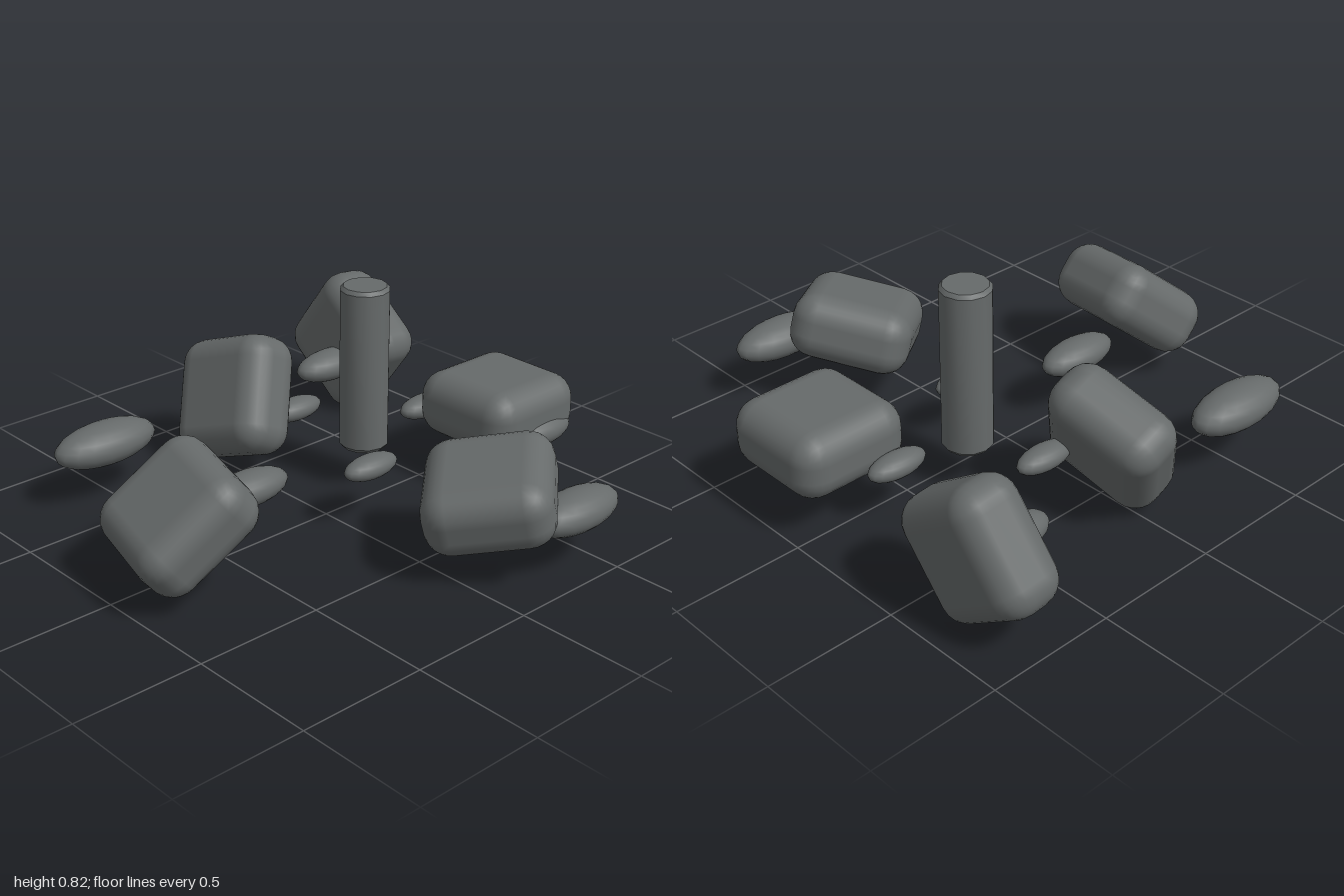
import * as THREE from 'three';
import { toCreasedNormals } from 'three/addons/utils/BufferGeometryUtils.js';
import { RoundedBoxGeometry } from 'three/addons/geometries/RoundedBoxGeometry.js';

export function createModel() {
  const model = new THREE.Group();
  model.name = 'scatteredStones';
  const stone = new THREE.MeshStandardMaterial({ color: 0x666a6a });
  stone.name = 'stoneGrey';

  // Rounded slabs: centre, then the directions of the two long edges
  const slabGeometry = new RoundedBoxGeometry(0.47, 0.26, 0.47, 3, 0.1);
  const slabs = [
    ['leftSlab', [0.755, 0.29, 0.165], [1, 0, 0], [0, 0, 1]],
    ['rightSlab', [-0.755, 0.29, 0.08], [0.75, 0.62, 0.23], [-0.2, -0.12, 0.97]],
    ['frontSlab', [0.16, 0.29, 0.68], [0.75, 0.2, -0.64], [0.6, 0.2, 0.8]],
    ['backSlab', [0.03, 0.29, -0.57], [0.41, 0.84, -0.36], [0.155, 0.37, 0.9]],
    ['backLeftSlab', [0.805, 0.287, -0.72], [0.05, 0.57, -0.82], [0.07, 0.82, 0.57]],
  ];
  for (const [name, centre, edgeX, edgeZ] of slabs) {
    const x = new THREE.Vector3(...edgeX).normalize();
    const y = new THREE.Vector3(...edgeZ).cross(x).normalize();
    const z = x.clone().cross(y);
    const slab = new THREE.Mesh(slabGeometry, stone);
    slab.name = name;
    slab.quaternion.setFromRotationMatrix(new THREE.Matrix4().makeBasis(x, y, z));
    slab.position.set(...centre);
    model.add(slab);
  }

  // Flattened pebbles: x, z and half length
  const pebbleGeometry = new THREE.SphereGeometry(1, 18, 12);
  const pebbles = [
    [-0.525, -0.68, 0.224], [-0.365, -0.015, 0.175], [0.085, 0.152, 0.125],
    [0.38, 0.89, 0.207], [0.79, 0.35, 0.17], [0.63, -0.107, 0.125],
    [0.225, -0.43, 0.125], [0.64, -0.68, 0.175],
  ];
  pebbles.forEach(([x, z, r], i) => {
    const pebble = new THREE.Mesh(pebbleGeometry, stone);
    pebble.name = `pebble${i + 1}`;
    pebble.position.set(x, 0.226, z);
    pebble.scale.set(r, r * 0.37, r * 0.47);
    model.add(pebble);
  });

  // Upright post with small bevels at both ends
  const profile = [[0, 0.16], [0.085, 0.16], [0.097, 0.175], [0.097, 0.805], [0.085, 0.82], [0, 0.82]]
    .map(([r, y]) => new THREE.Vector2(r, y));
  const post = new THREE.Mesh(toCreasedNormals(new THREE.LatheGeometry(profile, 12), 0.6), stone);
  post.name = 'post';
  post.position.set(0.295, 0, -0.108);
  model.add(post);

  return model;
}
